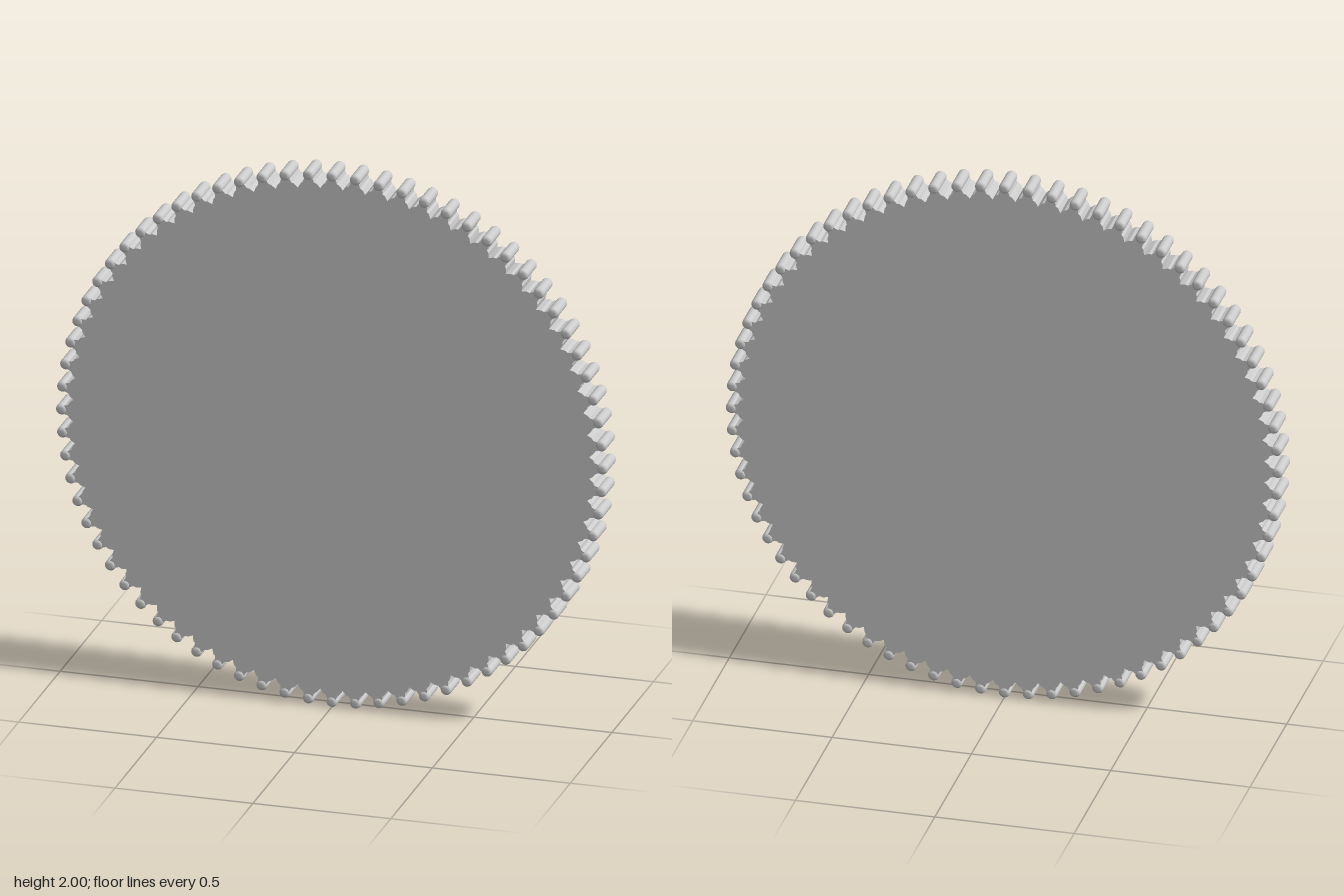
import * as THREE from 'three';

const TEETH = 72, PITCH = (Math.PI * 2) / TEETH;
const RIM = 0.98, ROD = 0.02, HALF = 0.055, ROD_HALF = 0.06;

export function createModel() {
  const group = new THREE.Group();
  const material = new THREE.MeshStandardMaterial({ color: 0xcccccc });

  // Toothed disc: a narrow tooth under every rod, with V-shaped valleys between
  const tooth = [[-0.5, 0.935], [-0.36, 0.95], [-0.24, 0.955], [-0.16, 0.975],
    [0.16, 0.975], [0.24, 0.955], [0.36, 0.95]];
  const points = [];
  for (let i = 0; i < TEETH; i++) {
    for (const [t, r] of tooth) {
      const a = (i + t) * PITCH;
      points.push(new THREE.Vector2(r * Math.cos(a), r * Math.sin(a)));
    }
  }
  const discGeometry = new THREE.ExtrudeGeometry(new THREE.Shape(points), {
    depth: HALF * 2, bevelEnabled: false,
  });
  discGeometry.translate(0, 0, -HALF);
  const disc = new THREE.Mesh(discGeometry, material);
  disc.name = 'toothedDisc';
  disc.position.y = 1;
  group.add(disc);

  // Round-ended rods along the rim
  const profile = [new THREE.Vector2(0, -ROD_HALF)];
  const fillet = 0.012;
  for (const end of [-1, 1]) {
    for (let k = 0; k <= 4; k++) {
      const a = ((end < 0 ? k : 4 - k) / 4) * Math.PI / 2;
      profile.push(new THREE.Vector2(
        ROD - fillet + fillet * Math.sin(a),
        end * (ROD_HALF - fillet + fillet * Math.cos(a))));
    }
  }
  profile.push(new THREE.Vector2(0, ROD_HALF));
  const rodGeometry = new THREE.LatheGeometry(profile, 16).rotateX(Math.PI / 2);

  const rods = new THREE.Group();
  rods.name = 'rimRods';
  for (let i = 0; i < TEETH; i++) {
    const rod = new THREE.Mesh(rodGeometry, material);
    rod.name = 'rimRod';
    rod.position.set(RIM * Math.cos(i * PITCH), 1 + RIM * Math.sin(i * PITCH), 0);
    rods.add(rod);
  }
  group.add(rods);
  return group;
}
